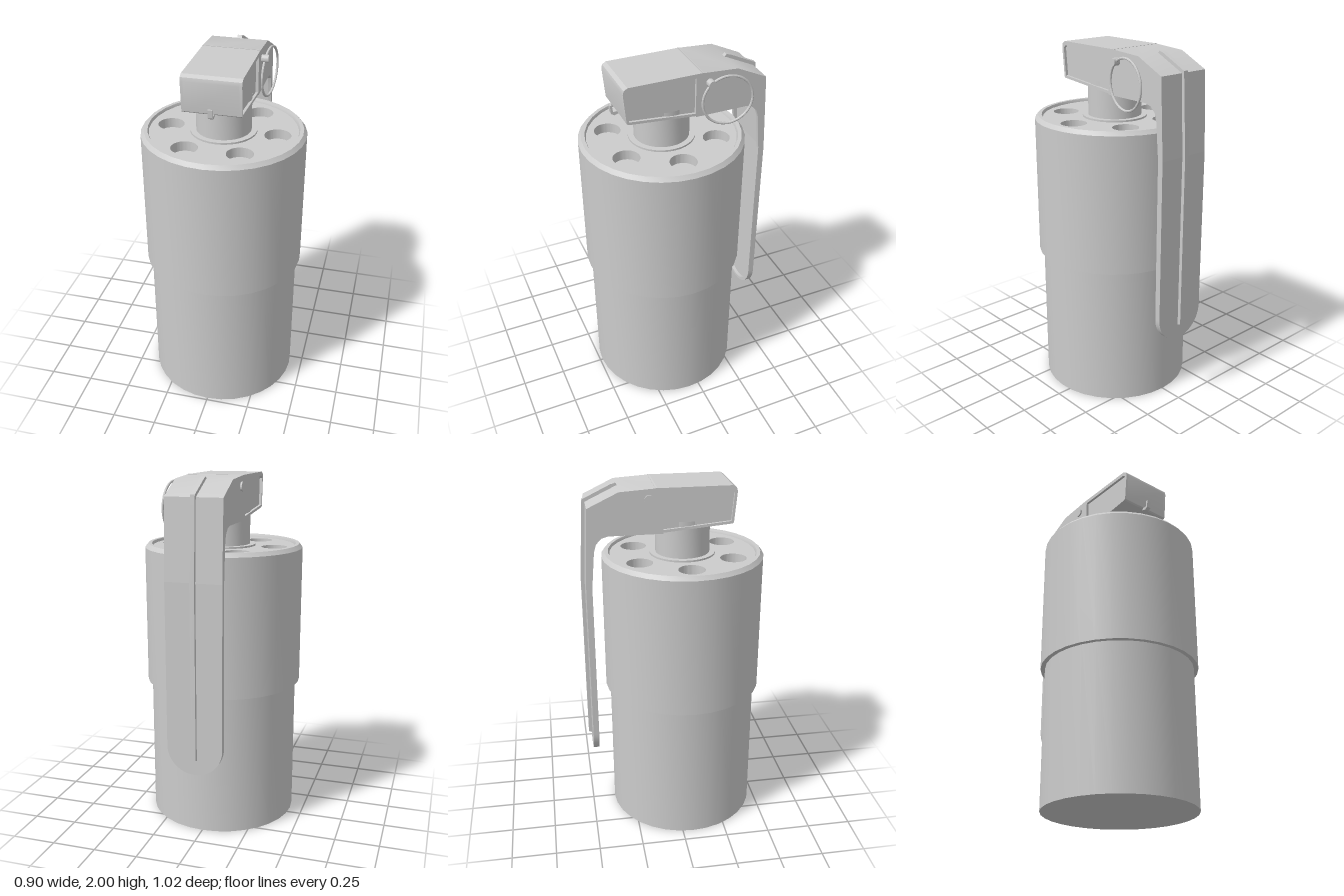
import * as THREE from 'three';
import { toCreasedNormals } from 'three/addons/utils/BufferGeometryUtils.js';

const grey = new THREE.MeshStandardMaterial({ color: 0xcccccc, side: THREE.DoubleSide });
const AXIS_Z = 0.06; // canister axis
const HALF_W = 0.158; // half width of head and lever

function add(parent, name, geometry, x = 0, y = 0, z = 0) {
  const mesh = new THREE.Mesh(toCreasedNormals(geometry, 0.5), grey);
  mesh.name = name;
  mesh.position.set(x, y, z);
  parent.add(mesh);
  return mesh;
}
const polygon = (pts) => new THREE.Shape(pts.map(([a, b]) => new THREE.Vector2(a, b)));
const lathe = (pts, sides = 32) =>
  new THREE.LatheGeometry(pts.map(([r, y]) => new THREE.Vector2(r, y)), sides);
const extrude = (shape, depth) =>
  new THREE.ExtrudeGeometry(shape, { depth, bevelEnabled: false, curveSegments: 12 });
// Side outline in (z, y), extruded along x and centred on x = 0
const sideExtrude = (shape, width) =>
  extrude(shape, width).translate(0, 0, -width / 2).rotateY(-Math.PI / 2);
// Adds a flat copy on each side, with its outer face at the full half width
function addSides(parent, name, shape, thick) {
  for (const [side, s] of [['left', 1], ['right', -1]])
    add(parent, side + name, sideExtrude(shape, thick), s * (HALF_W - thick / 2));
}

// Tongue hanging down with a half-round end, in the xy plane
function tongue(Path, halfWidth, top, endCentre) {
  const p = new Path();
  p.moveTo(halfWidth, top);
  p.lineTo(-halfWidth, top);
  p.lineTo(-halfWidth, endCentre);
  p.absarc(0, endCentre, halfWidth, Math.PI, Math.PI * 2, false);
  p.closePath();
  return p;
}

function buildCanister() {
  const g = new THREE.Group();
  g.name = 'canister';
  add(g, 'body', lathe([[0, 0], [0.425, 0], [0.425, 0.81], [0.45, 0.81], [0.45, 1.59],
    [0.432, 1.612], [0.412, 1.612], [0.405, 1.595], [0.405, 1.54], [0, 1.54]]));
  // Lid pierced by six vents
  const lid = new THREE.Shape().absarc(0, 0, 0.408, 0, Math.PI * 2);
  for (let i = 0; i < 6; i++) {
    const a = (i * Math.PI) / 3;
    lid.holes.push(new THREE.Path().absarc(0.296 * Math.cos(a), 0.296 * Math.sin(a), 0.072, 0, Math.PI * 2, true));
  }
  const lidGeometry = new THREE.ExtrudeGeometry(lid, { depth: 0.055, bevelEnabled: false, curveSegments: 32 });
  add(g, 'ventedLid', lidGeometry.rotateX(-Math.PI / 2), 0, 1.542);
  add(g, 'neck', lathe([[0.182, 1.59], [0.182, 1.607], [0.15, 1.607], [0.15, 1.81]]));
  g.position.z = AXIS_Z;
  return g;
}

function buildHead() {
  const g = new THREE.Group();
  g.name = 'fuzeHead';
  const outline = [[-0.11, 1.757], [0.302, 1.793], [0.31, 1.8], [0.325, 1.965],
    [0.32, 1.985], [0.3, 1.998], [-0.11, 1.998]];
  add(g, 'headCore', sideExtrude(polygon(outline), 2 * HALF_W - 0.03));
  // Raised frame round each recessed side
  const frame = polygon(outline);
  frame.holes.push(new THREE.Path(polygon([[-0.068, 1.775], [-0.068, 1.975], [0.295, 1.975],
    [0.31, 1.96], [0.297, 1.807]]).getPoints()));
  addSides(g, 'HeadFrame', frame, 0.015);
  // Small hook under the front edge
  add(g, 'frontHook', sideExtrude(polygon([[0.3, 1.8], [0.3, 1.785], [0.325, 1.778], [0.342, 1.79],
    [0.346, 1.835], [0.336, 1.835], [0.33, 1.798]]), 0.026));
  return g;
}

function buildLever() {
  const g = new THREE.Group();
  g.name = 'safetyLever';
  // Bent top plate
  add(g, 'leverTop', sideExtrude(polygon([[-0.1, 2], [-0.11, 1.997], [-0.3, 1.985], [-0.468, 1.905],
    [-0.488, 1.47], [-0.474, 1.47], [-0.455, 1.895], [-0.295, 1.97], [-0.1, 1.982]]), 2 * HALF_W));
  // Side cheeks that grip the head and taper into the leg
  addSides(g, 'LeverCheek', polygon([[-0.07, 1.985], [-0.07, 1.755], [-0.36, 1.755], [-0.395, 1.745],
    [-0.425, 1.715], [-0.438, 1.67], [-0.455, 1.47], [-0.488, 1.47], [-0.468, 1.905], [-0.3, 1.985]]), 0.018);
  // Leg with an inward rim
  const end = 0.4 + HALF_W;
  add(g, 'leverLeg', extrude(tongue(THREE.Shape, HALF_W, 1.47, end), 0.014), 0, 0, -0.488);
  const rim = new THREE.Shape();
  const inner = HALF_W - 0.018;
  rim.moveTo(-HALF_W, 1.47);
  rim.lineTo(-HALF_W, end);
  rim.absarc(0, end, HALF_W, Math.PI, Math.PI * 2, false);
  rim.lineTo(HALF_W, 1.47);
  rim.lineTo(inner, 1.47);
  rim.lineTo(inner, end);
  rim.absarc(0, end, inner, Math.PI * 2, Math.PI, true);
  rim.lineTo(-inner, 1.47);
  add(g, 'leverRim', extrude(rim, 0.02), 0, 0, -0.475);
  // Stiffening rib down the middle
  add(g, 'leverRib', sideExtrude(polygon([[-0.29, 1.98], [-0.305, 1.999], [-0.33, 1.992], [-0.483, 1.918],
    [-0.508, 1.47], [-0.508, 0.495], [-0.485, 0.485], [-0.485, 1.47], [-0.465, 1.9], [-0.3, 1.98]]), 0.026));
  return g;
}

function buildPin() {
  const g = new THREE.Group();
  g.name = 'pullPin';
  const rod = (r, length) => new THREE.CylinderGeometry(r, r, length, 16).rotateZ(Math.PI / 2);
  add(g, 'pinShaft', rod(0.021, 0.364), 0.015, 1.94, -0.143);
  add(g, 'pinEnd', rod(0.025, 0.02), -0.158, 1.94, -0.143);
  // Ring hangs slightly splayed from the pin
  const ring = add(g, 'pullRing', new THREE.TorusGeometry(0.136, 0.007, 8, 40).rotateY(Math.PI / 2), 0.187, 1.834, -0.235);
  ring.rotation.y = -0.12;
  return g;
}

export function createModel() {
  const model = new THREE.Group();
  model.name = 'canisterWithLever';
  model.add(buildCanister(), buildHead(), buildLever(), buildPin());
  return model;
}
